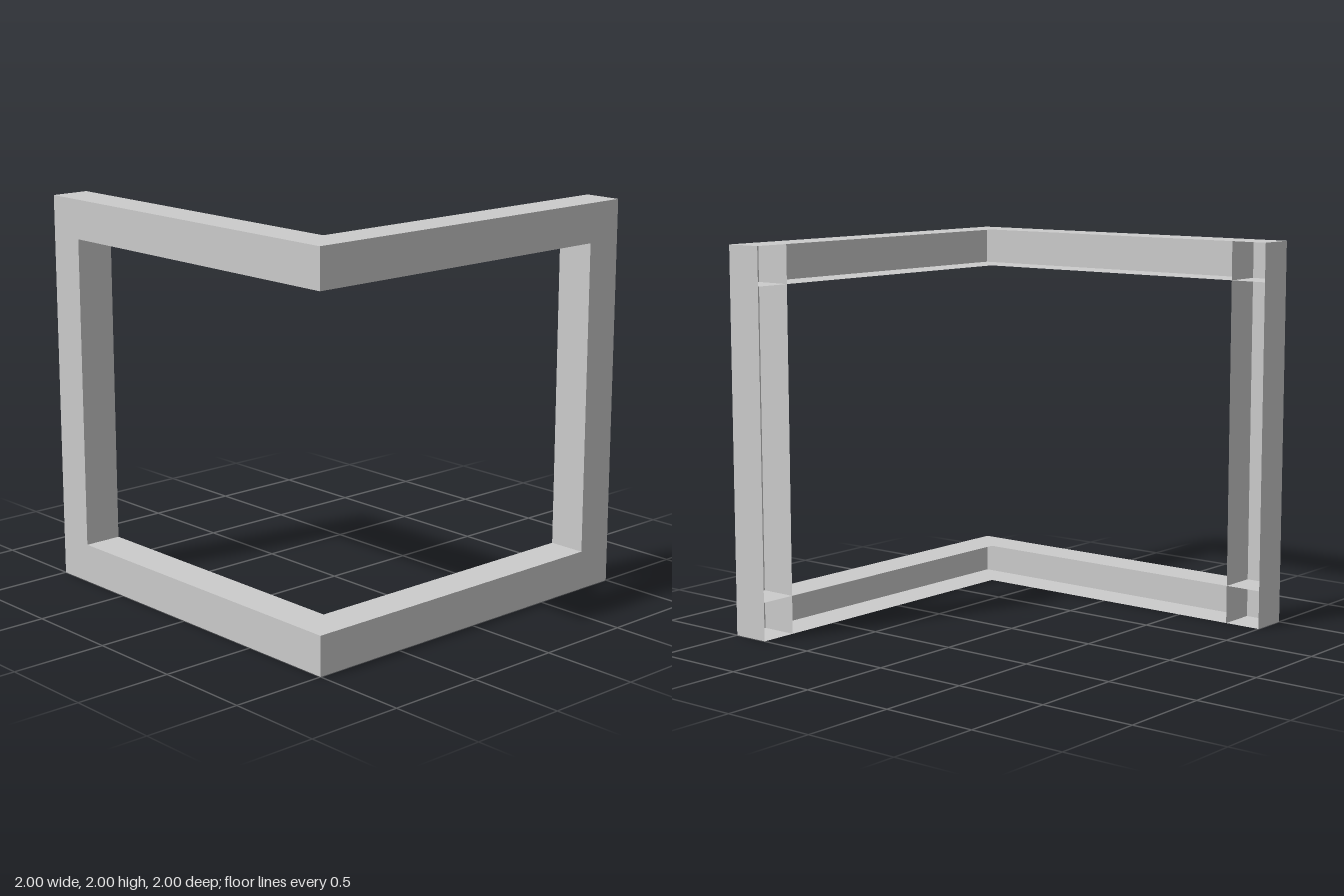
import * as THREE from 'three';

export function createModel() {
  const model = new THREE.Group();
  const material = new THREE.MeshStandardMaterial({
    color: 0xcccccc, flatShading: true, side: THREE.DoubleSide,
  });
  const W = 0.2; // bar width

  const sheet = (points) =>
    new THREE.ShapeGeometry(new THREE.Shape(points.map(([x, y]) => new THREE.Vector2(x, y))));
  const add = (parent, name, geometry) => {
    const mesh = new THREE.Mesh(geometry, material);
    mesh.name = name;
    parent.add(mesh);
    return mesh;
  };

  // L-shaped top and bottom sheets of the two horizontal channels
  const corner = sheet([[-1, 1 - W], [1 - W, 1 - W], [1 - W, -1], [1, -1], [1, 1], [-1, 1]]);
  corner.rotateX(Math.PI / 2);
  const rails = { lowerRailBottom: 0, lowerRailTop: W, upperRailBottom: 2 - W, upperRailTop: 2 };
  for (const [name, y] of Object.entries(rails)) add(model, name, corner).position.y = y;

  // C-shaped outer wall (two rails and a post) plus the two cheeks of the post;
  // the inner side of every channel stays open
  const wall = sheet([[-1, 0], [1, 0], [1, W], [-1 + W, W], [-1 + W, 2 - W], [1, 2 - W], [1, 2], [-1, 2]]);
  const cheek = new THREE.PlaneGeometry(W, 2).rotateY(-Math.PI / 2);
  const makeFrame = (name) => {
    const frame = new THREE.Group();
    frame.name = name;
    add(frame, 'outerWall', wall).position.z = 1;
    add(frame, 'postOuterCheek', cheek).position.set(-1, 1, 1 - W / 2);
    add(frame, 'postInnerCheek', cheek).position.set(-1 + W, 1, 1 - W / 2);
    model.add(frame);
    return frame;
  };

  makeFrame('frontFrame');
  // Side frame: the front one turned a quarter and mirrored, so x and z swap
  const side = makeFrame('sideFrame');
  side.rotation.y = Math.PI / 2;
  side.scale.x = -1;

  return model;
}
